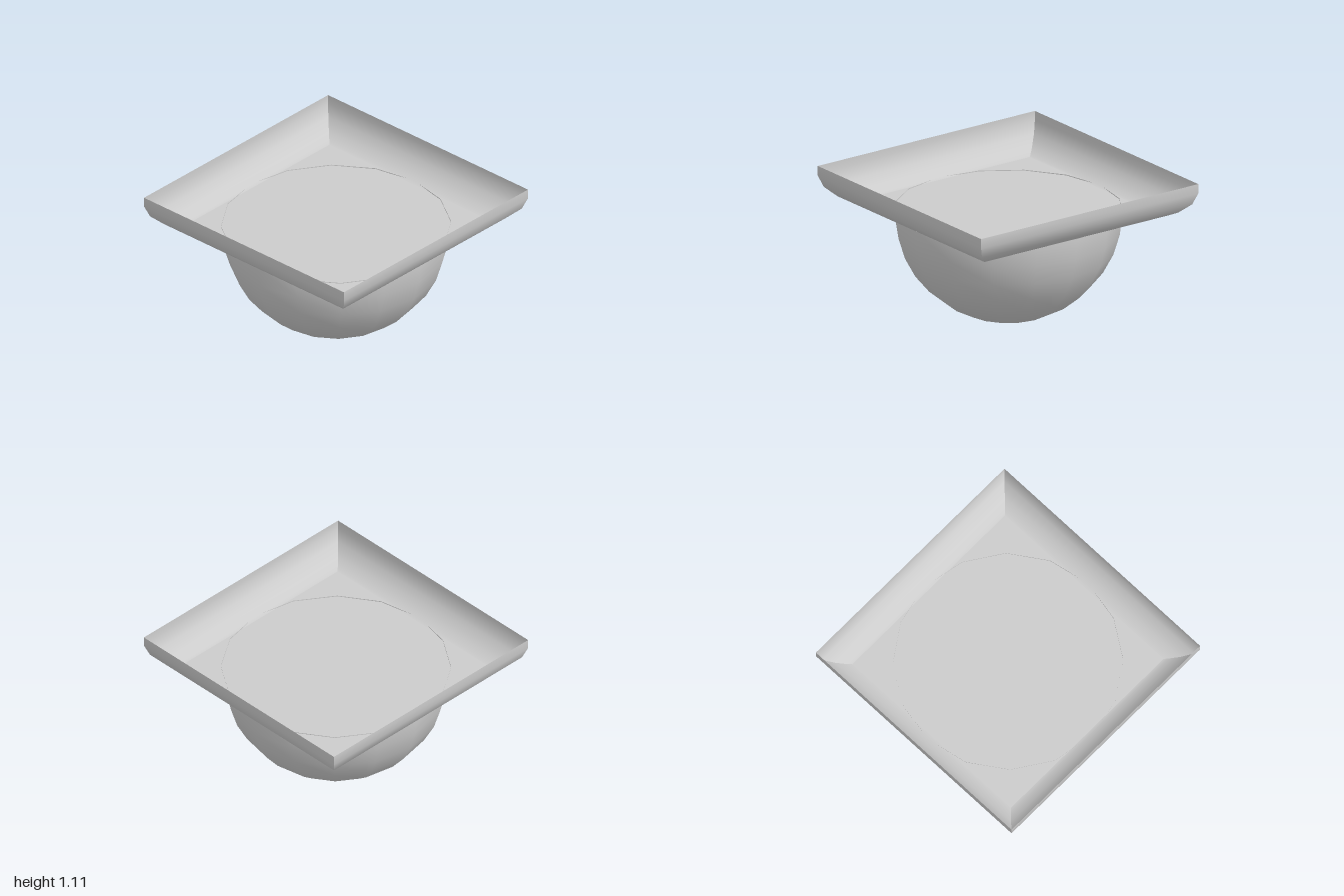
import * as THREE from 'three';

const material = new THREE.MeshStandardMaterial({ color: 0xcccccc, side: THREE.DoubleSide });

// Half-width and height of the flared rim, from floor edge to lip
const RIM = [[0.81, 0.842], [0.834, 0.847], [0.895, 0.877], [0.968, 0.946], [1, 1.032], [1, 1.107]];

// One mitred side of the rim, facing inwards and upwards
function rimSide() {
  const positions = [], index = [];
  RIM.forEach(([r, y], i) => {
    positions.push(-r, y, r, r, y, r);
    if (i > 0) {
      const a = 2 * (i - 1);
      index.push(a, a + 2, a + 1, a + 1, a + 2, a + 3);
    }
  });
  const geometry = new THREE.BufferGeometry();
  geometry.setAttribute('position', new THREE.Float32BufferAttribute(positions, 3));
  geometry.setIndex(index);
  geometry.computeVertexNormals();
  return geometry;
}

export function createModel() {
  const model = new THREE.Group();
  const add = (name, geometry) => {
    const mesh = new THREE.Mesh(geometry, material);
    mesh.name = name;
    model.add(mesh);
    return mesh;
  };

  // Low-poly half sphere, open at the top
  const radius = 0.848;
  add('dome', new THREE.SphereGeometry(radius, 16, 8, 0, Math.PI * 2, Math.PI / 2, Math.PI / 2))
    .position.y = radius;

  // Square tray: flat floor and four curved sides
  const [half, floorY] = RIM[0];
  const floor = new THREE.PlaneGeometry(2 * half, 2 * half).rotateX(-Math.PI / 2);
  add('trayFloor', floor).position.y = floorY;
  ['Front', 'Left', 'Back', 'Right'].forEach((side, i) => {
    add('trayRim' + side, rimSide()).rotation.y = i * Math.PI / 2;
  });

  return model;
}
